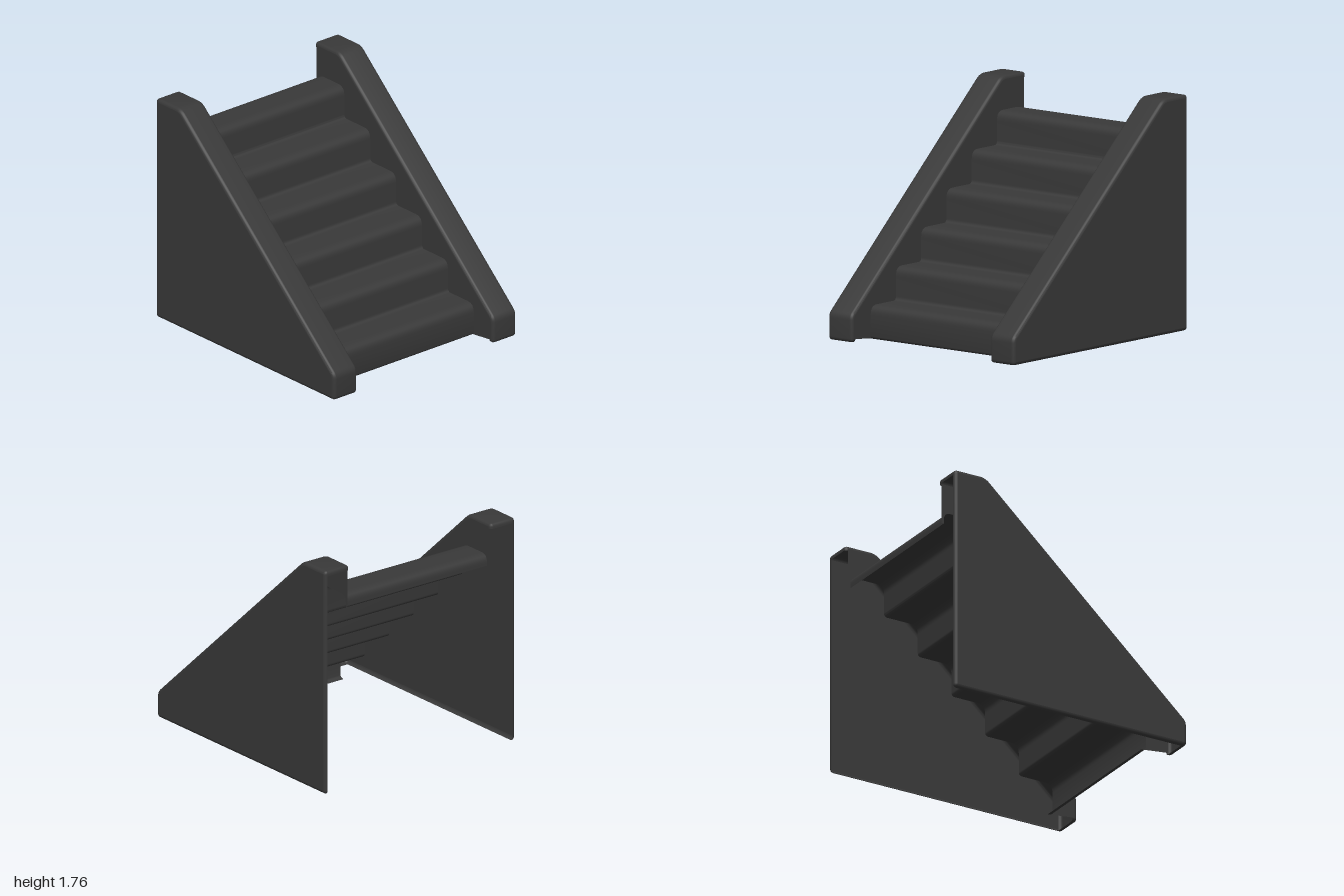
import * as THREE from 'three';
import { toCreasedNormals } from 'three/addons/utils/BufferGeometryUtils.js';

// Every part is an open sheet, so both sides show
const material = new THREE.MeshStandardMaterial({ color: 0x393939, side: THREE.DoubleSide });
const BEVEL = 0.025, OUTER = 0.89, INNER = 0.66, CREASE = 0.7;

// Polyline through [x, y, roundness] corners, each softened by a short curve
function roundedPath(corners) {
  const points = [];
  const vec = (i) => new THREE.Vector2(corners[i][0], corners[i][1]);
  corners.forEach(([, , r], i) => {
    const p = vec(i);
    if (!r) return points.push(p);
    const from = vec(i - 1).sub(p).setLength(r).add(p);
    const to = vec(i + 1).sub(p).setLength(r).add(p);
    points.push(...new THREE.QuadraticBezierCurve(from, p, to).getPoints(6));
  });
  return points;
}

// Moves a path inwards, away from its right-hand side
function inset(path, d) {
  return path.map((p, i) => {
    const t = path[Math.min(i + 1, path.length - 1)].clone().sub(path[Math.max(i - 1, 0)]).normalize();
    return new THREE.Vector2(p.x - t.y * d, p.y + t.x * d);
  });
}

// Rows that round a path over from its rim to a flat face
function roundedEdge(path, rimZ, faceZ) {
  return [0, 1, 2, 3, 4].map((i) => {
    const a = (i / 4) * Math.PI / 2;
    return { path: inset(path, BEVEL * (1 - Math.cos(a))), z: rimZ + (faceZ - rimZ) * Math.sin(a) };
  });
}

// Skin across rows of { path, z }
function loft(rows) {
  const count = rows[0].path.length, positions = [], index = [];
  rows.forEach(({ path, z }) => path.forEach((p) => positions.push(p.x, p.y, z)));
  for (let i = 0; i < rows.length - 1; i++) {
    for (let j = 0; j < count - 1; j++) {
      const a = i * count + j, b = a + count;
      index.push(a, b, a + 1, b, b + 1, a + 1);
    }
  }
  const geometry = new THREE.BufferGeometry();
  geometry.setAttribute('position', new THREE.Float32BufferAttribute(positions, 3));
  geometry.setIndex(index);
  return toCreasedNormals(geometry, CREASE);
}

function addMesh(parent, name, geometry) {
  const mesh = new THREE.Mesh(geometry, material);
  mesh.name = name;
  parent.add(mesh);
}

// Six steps, from the back of the top tread down to the floor
function stairPath() {
  const steps = 6, rise = 0.2515, run = 0.29, front = 0.785;
  const corners = [[-0.955, 1.42], [-0.955, steps * rise, 0.06]];
  for (let i = steps; i > 0; i--) {
    const x = front - (i - 1) * run;
    corners.push([x, i * rise, 0.07], [x, (i - 1) * rise, 0.03]);
  }
  corners.push([front - 0.04, 0]);
  return roundedPath(corners);
}

function sidePanel(stairs) {
  const panel = new THREE.Group();
  const slope = [[1, 0, 0.03], [1, 0.2, 0.035], [-0.73, 1.76, 0.045], [-1, 1.76, 0.03]];

  // Outer wall sheet with a rounded rim all the way round
  const outline = roundedPath([[0, 0], ...slope, [-1, 0, 0.03], [0, 0]]);
  const wall = new THREE.ShapeGeometry(new THREE.Shape(inset(outline, BEVEL).slice(0, -1)));
  wall.translate(0, 0, OUTER);
  addMesh(panel, 'outerWall', wall);
  addMesh(panel, 'outerRim', loft(roundedEdge(outline, OUTER - BEVEL, OUTER).reverse()));

  // Sloping rail, rounded towards the steps and open at the back and below
  const path = roundedPath([[0.96, 0], ...slope, [-1, 1.72]]);
  addMesh(panel, 'rail', loft([{ path, z: OUTER - BEVEL }, ...roundedEdge(path, INNER + BEVEL, INNER)]));

  // Inner face, between the rail and the steps
  const back = new THREE.Vector2(BEVEL - 1, 1.42);
  const face = new THREE.ShapeGeometry(new THREE.Shape([...inset(path, BEVEL), back, ...stairs]));
  face.index.array.reverse();
  face.computeVertexNormals();
  face.translate(0, 0, INNER);
  addMesh(panel, 'innerFace', face);
  return panel;
}

export function createModel() {
  const model = new THREE.Group();
  model.name = 'staircase';
  const stairs = stairPath();
  addMesh(model, 'steps', loft([{ path: stairs, z: -INNER }, { path: stairs, z: INNER }]));

  // Matching side panels, mirrored across the steps
  for (const side of [1, -1]) {
    const panel = sidePanel(stairs);
    panel.name = side > 0 ? 'frontSidePanel' : 'backSidePanel';
    panel.scale.z = side;
    model.add(panel);
  }
  return model;
}
